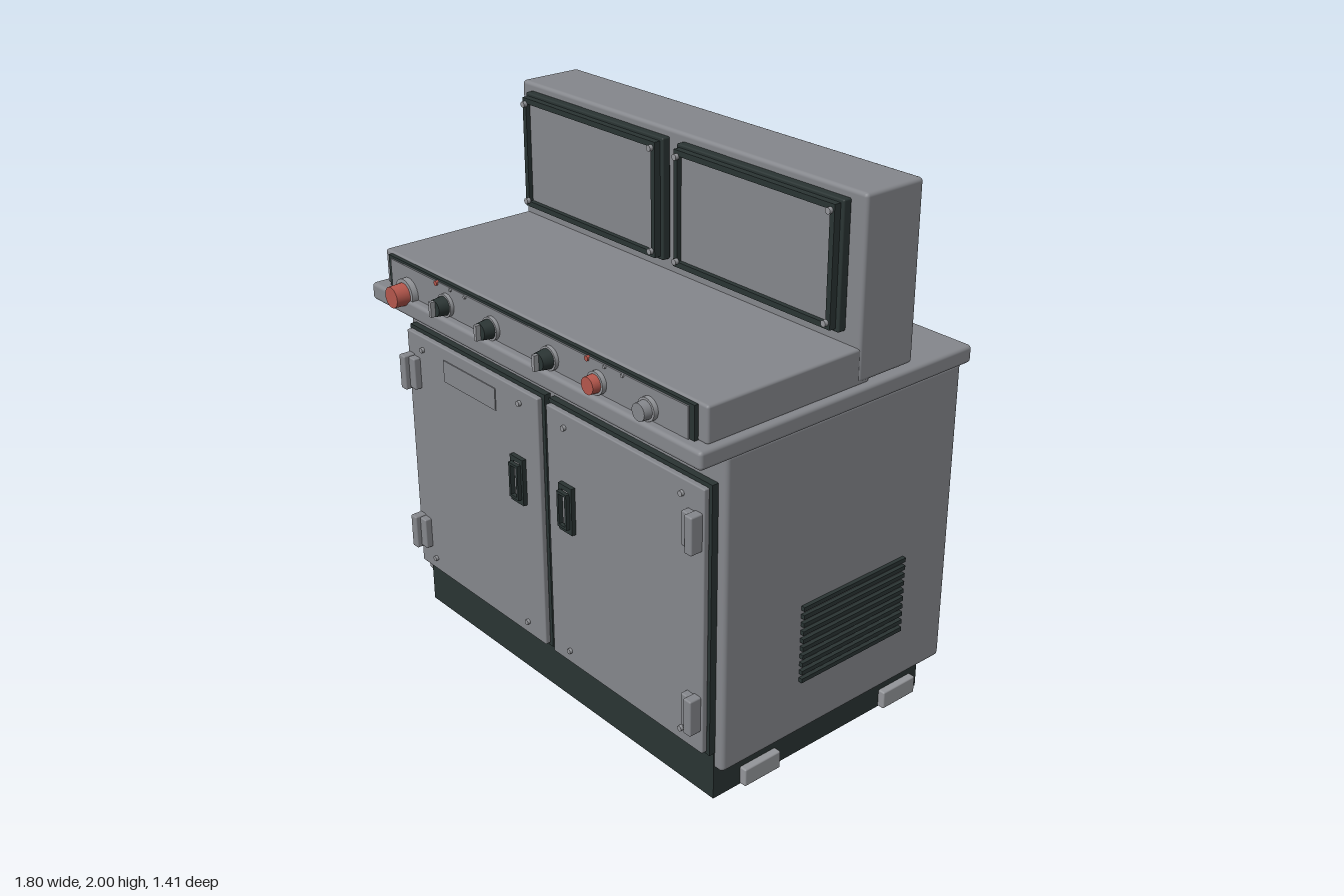
import * as THREE from 'three';
import { RoundedBoxGeometry } from 'three/addons/geometries/RoundedBoxGeometry.js';

const material = (name, color) => {
  const m = new THREE.MeshStandardMaterial({ color });
  m.name = name;
  return m;
};

export function createModel() {
  const root = new THREE.Group();
  root.name = 'controlCabinet';
  const grey = material('cabinet grey', 0x85878c);
  const steel = material('light steel', 0x94969a);
  const dark = material('dark trim', 0x2a3433);
  const red = material('signal red', 0xb5574c);

  const add = (name, geometry, mat, parent = root) => {
    const mesh = new THREE.Mesh(geometry, mat);
    mesh.name = name;
    parent.add(mesh);
    return mesh;
  };
  // Box given by its extents, with rounded edges when r > 0
  const box = (name, mat, [x0, x1], [y0, y1], [z0, z1], r = 0, parent = root) => {
    const size = [x1 - x0, y1 - y0, z1 - z0];
    const g = r ? new RoundedBoxGeometry(...size, 2, r) : new THREE.BoxGeometry(...size);
    g.translate((x0 + x1) / 2, (y0 + y1) / 2, (z0 + z1) / 2);
    return add(name, g, mat, parent);
  };
  // Cylinder along z between z0 and z1
  const disc = (name, mat, x, y, z0, z1, r, parent = root, rFront = r) => {
    const g = new THREE.CylinderGeometry(rFront, r, z1 - z0, 24);
    g.rotateX(Math.PI / 2).translate(x, y, (z0 + z1) / 2);
    return add(name, g, mat, parent);
  };
  // Rectangular frame with an open middle
  const frame = (name, mat, [x0, x1], [y0, y1], [z0, z1], w, parent) => {
    const rect = (C, d) => {
      const p = new C();
      p.moveTo(x0 + d, y0 + d);
      p.lineTo(x1 - d, y0 + d);
      p.lineTo(x1 - d, y1 - d);
      p.lineTo(x0 + d, y1 - d);
      p.closePath();
      return p;
    };
    const s = rect(THREE.Shape, 0);
    s.holes.push(rect(THREE.Path, w));
    const g = new THREE.ExtrudeGeometry(s, { depth: z1 - z0, bevelEnabled: false });
    g.translate(0, 0, z0);
    return add(name, g, mat, parent);
  };
  const group = (name) => {
    const g = new THREE.Group();
    g.name = name;
    root.add(g);
    return g;
  };

  // Cabinet, plinth, worktop, console and screen housing
  box('cabinetBody', grey, [-0.867, 0.867], [0.12, 1.295], [-0.547, 0.525], 0.018);
  box('plinth', dark, [-0.83, 0.83], [0, 0.187], [-0.47, 0.528]);
  box('neck', grey, [-0.84, 0.84], [1.28, 1.31], [-0.52, 0.5]);
  box('worktop', grey, [-0.9, 0.9], [1.3, 1.365], [-0.555, 0.66], 0.014);
  box('consoleDesk', grey, [-0.872, 0.872], [1.36, 1.49], [-0.085, 0.607], 0.01);
  box('screenHousing', grey, [-0.875, 0.875], [1.37, 2], [-0.283, -0.028], 0.014);

  // Feet
  for (const s of [-1, 1]) {
    for (const z of [0.325, -0.353]) {
      const x = [s * 0.8, s * 0.857].sort((a, b) => a - b);
      box('foot', steel, x, [0.001, 0.07], [z - 0.082, z + 0.082], 0.006);
    }
  }

  // Screens
  for (const s of [-1, 1]) {
    const g = group(s < 0 ? 'rightScreen' : 'leftScreen');
    const cx = s * 0.423;
    const span = (h) => [cx - h, cx + h];
    box('screenBack', dark, span(0.388), [1.533, 1.972], [-0.03, 0.004], 0.006, g);
    frame('screenBezel', dark, span(0.374), [1.545, 1.96], [0.004, 0.03], 0.02, g);
    box('screenGlass', grey, span(0.354), [1.565, 1.94], [0.004, 0.012], 0, g);
    for (const dx of [-0.357, 0.357]) {
      for (const y of [1.567, 1.938]) disc('bezelScrew', steel, cx + dx, y, 0.028, 0.044, 0.011, g);
    }
  }

  // Control panel
  box('controlPanelTrim', dark, [-0.83, 0.83], [1.36, 1.483], [0.6, 0.622]);
  box('controlPanel', grey, [-0.808, 0.808], [1.36, 1.474], [0.62, 0.628]);
  const stop = group('emergencyStop');
  disc('stopCollar', steel, -0.695, 1.378, 0.625, 0.652, 0.056, stop);
  disc('stopButton', red, -0.695, 1.378, 0.652, 0.705, 0.042, stop, 0.039);
  for (const x of [-0.455, -0.185, 0.138]) {
    const g = group('selectorSwitch');
    disc('selectorCollar', steel, x, 1.405, 0.625, 0.642, 0.042, g);
    disc('selectorKnob', dark, x, 1.405, 0.642, 0.682, 0.035, g, 0.03);
    box('selectorGrip', steel, [x - 0.007, x + 0.007], [1.377, 1.433], [0.66, 0.7], 0, g);
  }
  for (const [x, mat] of [[0.385, red], [0.633, grey]]) {
    const g = group('pushButton');
    disc('buttonCollar', steel, x, 1.405, 0.625, 0.645, 0.04, g);
    disc('buttonCap', mat, x, 1.405, 0.645, 0.675, 0.032, g, 0.03);
  }
  for (const x0 of [-0.515, 0.33]) {
    for (let i = 0; i < 3; i++) {
      disc('indicatorLamp', i ? steel : red, x0 + i * 0.087, 1.468, 0.622, 0.634, i ? 0.006 : 0.009);
    }
  }

  // Doors with hinges, handles and screws
  for (const s of [-1, 1]) {
    const g = group(s < 0 ? 'rightDoor' : 'leftDoor');
    const span = (a, b) => (s < 0 ? [-b, -a] : [a, b]);
    box('doorSeal', dark, span(0.012, 0.833), [0.187, 1.193], [0.52, 0.55], 0, g);
    box('doorPanel', grey, span(0.024, 0.822), [0.199, 1.181], [0.55, 0.573], 0.005, g);
    for (const y of [0.352, 1.028]) {
      box('hingeKnuckle', grey, span(0.78, 0.815), [y - 0.068, y + 0.068], [0.57, 0.62], 0.006, g);
      box('hingeLeaf', grey, span(0.745, 0.785), [y - 0.062, y + 0.062], [0.57, 0.6], 0.005, g);
    }
    frame('handleFrame', dark, span(0.102, 0.174), [0.743, 0.922], [0.572, 0.59], 0.018, g);
    frame('handleRim', dark, span(0.112, 0.164), [0.765, 0.9], [0.59, 0.605], 0.01, g);
    box('handleGrip', steel, span(0.12, 0.156), [0.761, 0.904], [0.57, 0.585], 0, g);
    for (const x of [0.125, 0.72]) {
      for (const y of [0.25, 1.13]) disc('doorScrew', steel, s * x, y, 0.57, 0.584, 0.01, g);
    }
  }
  box('labelPlate', grey, [-0.585, -0.268], [1.05, 1.135], [0.572, 0.577]);

  // Side vents
  for (const s of [-1, 1]) {
    for (let i = 0; i < 10; i++) {
      const y = 0.339 + i * 0.0313;
      const x = [s * 0.86, s * 0.882].sort((a, b) => a - b);
      box('ventSlat', dark, x, [y - 0.008, y + 0.008], [-0.31, 0.18]);
    }
  }

  // Rear service panel
  box('rearPanel', grey, [-0.68, 0.68], [0.4, 1.135], [-0.583, -0.54], 0.005);
  for (const x of [-0.6, 0.6]) {
    for (const y of [0.475, 1.07]) disc('rearScrew', steel, x, y, -0.592, -0.58, 0.011);
  }

  // Rear cables: straight runs with rounded joints
  const path = [[0.305, -0.59], [0.292, -0.622], [0.148, -0.688], [0.072, -0.65]];
  for (const x of [-0.505, -0.17, 0.165, 0.5]) {
    const g = group('cable');
    disc('cableGland', steel, x, 0.3, -0.607, -0.54, 0.035, g);
    const pts = path.map(([y, z]) => new THREE.Vector3(x, y, z));
    for (let i = 1; i < pts.length; i++) {
      const dir = pts[i].clone().sub(pts[i - 1]);
      const run = add('cableRun', new THREE.CylinderGeometry(0.021, 0.021, dir.length(), 16), dark, g);
      run.position.copy(pts[i]).add(pts[i - 1]).multiplyScalar(0.5);
      run.quaternion.setFromUnitVectors(new THREE.Vector3(0, 1, 0), dir.normalize());
      if (i < pts.length - 1) {
        add('cableJoint', new THREE.SphereGeometry(0.021, 16, 12), dark, g).position.copy(pts[i]);
      }
    }
  }
  return root;
}
